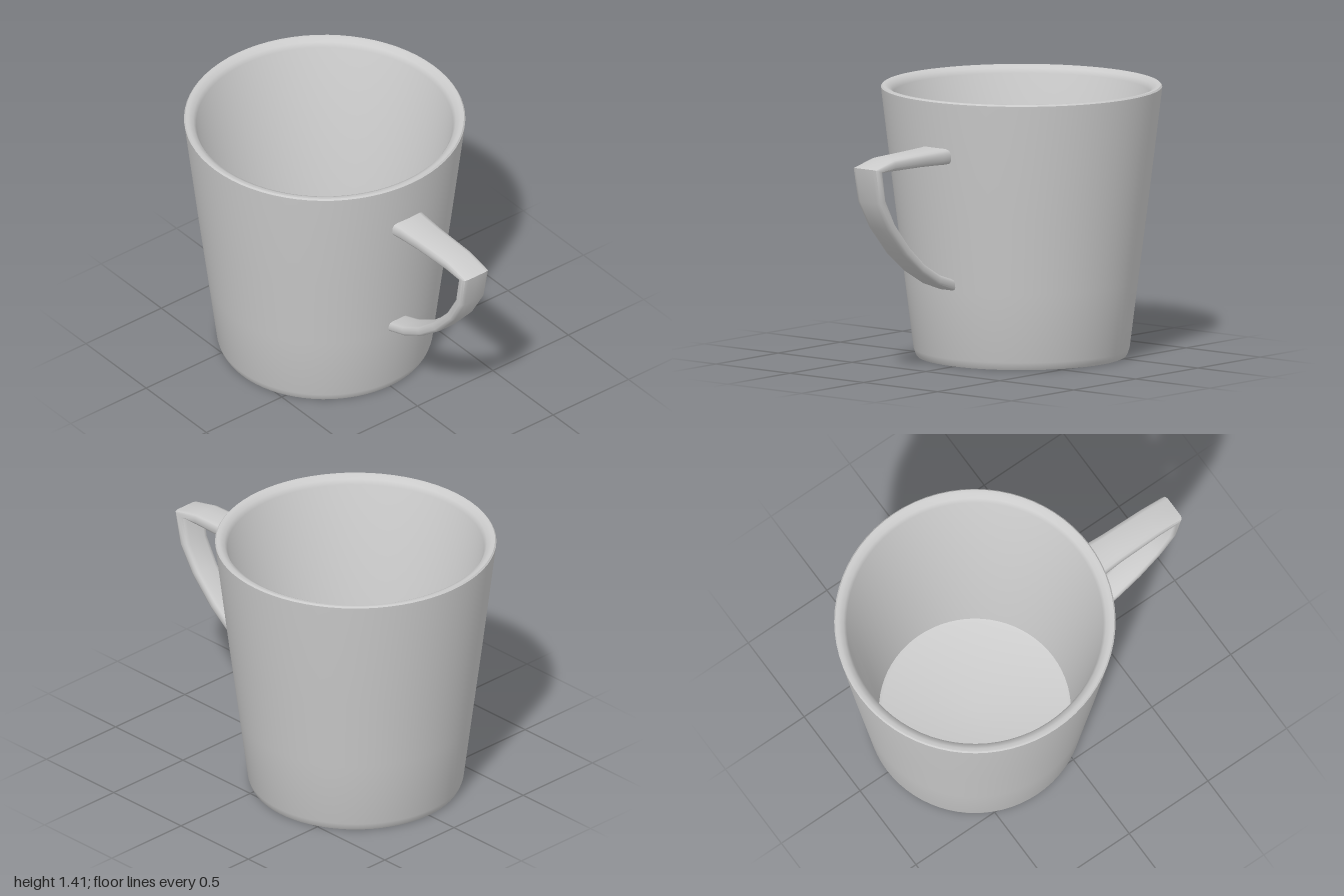
import * as THREE from 'three';
import { toCreasedNormals } from 'three/addons/utils/BufferGeometryUtils.js';

const material = new THREE.MeshStandardMaterial({ color: 0xcccccc });
const AXIS_X = -0.27;

// Outside, rim, inside and recessed foot as one closed turned profile
function cupGeometry() {
  const profile = [
    [0, 0.03], [0.455, 0.03], [0.475, 0.012], [0.5, 0], [0.543, 0], [0.552, 0.015], [0.56, 0.04],
    [0.605, 0.4], [0.656, 0.8], [0.728, 1.395], [0.729, 1.407], [0.722, 1.415],
    [0.705, 1.414], [0.68, 1.4], [0.665, 1.375],
    [0.497, 0.08], [0.48, 0.07], [0, 0.07],
  ].map(([r, y]) => new THREE.Vector2(r, y));
  return toCreasedNormals(new THREE.LatheGeometry(profile, 72), 0.7);
}

// Flat bevelled section swept through stations:
// [outer x, outer y, inner x, inner y, half width]
function handleGeometry() {
  const stations = [
    [0.40, 1.165, 0.40, 1.08, 0.102],
    [0.47, 1.163, 0.47, 1.083, 0.094],
    [0.60, 1.16, 0.60, 1.088, 0.086],
    [0.84, 1.155, 0.84, 1.092, 0.082],
    [0.997, 1.117, 0.933, 1.094, 0.082],
    [0.962, 0.936, 0.906, 0.948, 0.079],
    [0.876, 0.79, 0.826, 0.813, 0.075],
    [0.742, 0.64, 0.703, 0.68, 0.071],
    [0.605, 0.532, 0.58, 0.578, 0.067],
    [0.468, 0.455, 0.445, 0.503, 0.063],
    [0.315, 0.402, 0.318, 0.462, 0.06],
  ];
  // [across thickness, across width], running from the outer face to +z
  const section = [
    [1, 0], [1, 0.7], [0.82, 0.92], [0.4, 1], [-0.4, 1], [-0.82, 0.9], [-1, 0.65],
    [-1, 0], [-1, -0.65], [-0.82, -0.9], [-0.4, -1], [0.4, -1], [0.82, -0.92], [1, -0.7],
  ];
  const n = section.length, last = (stations.length - 1) * n;
  const positions = [], index = [];
  for (const [ox, oy, ix, iy, w] of stations) {
    for (const [t, s] of section) {
      positions.push((ox + ix) / 2 + t * (ox - ix) / 2, (oy + iy) / 2 + t * (oy - iy) / 2, s * w);
    }
  }
  for (let i = 0; i < stations.length - 1; i++) {
    for (let j = 0; j < n; j++) {
      const a = i * n + j, b = i * n + (j + 1) % n;
      index.push(a, b, a + n, b, b + n, a + n);
    }
  }
  // End caps
  for (let j = 1; j < n - 1; j++) {
    index.push(0, j + 1, j, last, last + j, last + j + 1);
  }
  const geometry = new THREE.BufferGeometry();
  geometry.setAttribute('position', new THREE.Float32BufferAttribute(positions, 3));
  geometry.setIndex(index);
  return toCreasedNormals(geometry, 0.85);
}

export function createModel() {
  const group = new THREE.Group();
  group.name = 'mug';

  const cup = new THREE.Mesh(cupGeometry(), material);
  cup.name = 'cup';
  cup.position.x = AXIS_X;

  const handle = new THREE.Mesh(handleGeometry(), material);
  handle.name = 'handle';

  group.add(cup, handle);
  return group;
}
